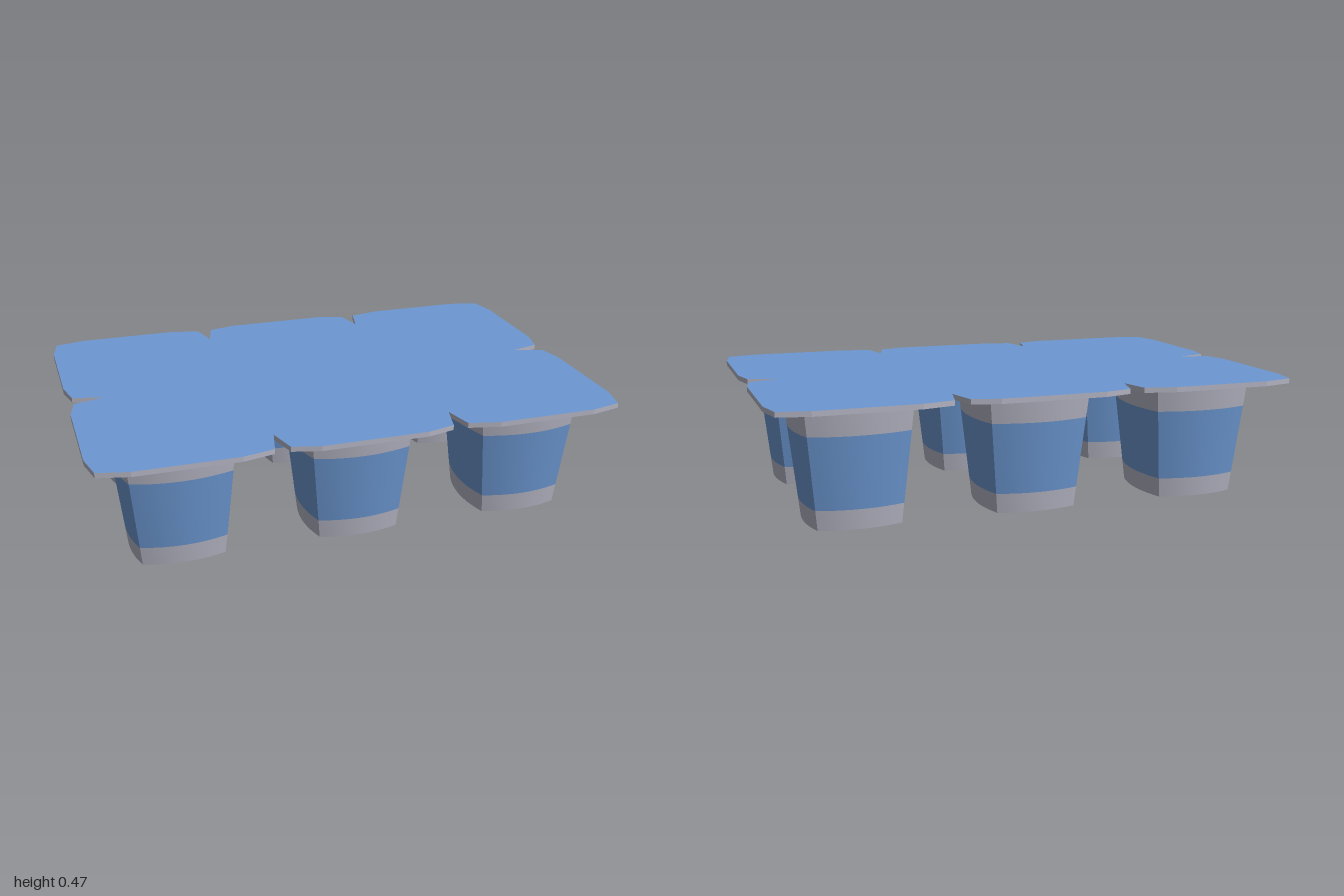
import * as THREE from 'three';

const blue = new THREE.MeshStandardMaterial({ color: 0x6c98d2 });
blue.name = 'blue';
const grey = new THREE.MeshStandardMaterial({ color: 0xb6b6c5 });
grey.name = 'light grey';

const CUP_HEIGHT = 0.45;
const STEPS = 10;

// A point on one bowed side of the cup: side 0..3, t from -1 to 1 along the side
function sidePoint(side, t, y) {
  const half = THREE.MathUtils.lerp(0.179, 0.228, y / CUP_HEIGHT);
  const corner = half * 0.855;
  const out = half - (half - corner) * t * t;
  const p = new THREE.Vector3(corner * t, y, out);
  return p.applyAxisAngle(new THREE.Vector3(0, 1, 0), side * Math.PI / 2);
}

// Ring of four bowed sides between two heights; corners stay sharp, sides smooth
function bandGeometry(y0, y1) {
  const positions = [], index = [];
  for (let side = 0; side < 4; side++) {
    const start = positions.length / 3;
    for (let i = 0; i <= STEPS; i++) {
      const t = -1 + 2 * i / STEPS;
      positions.push(...sidePoint(side, t, y0).toArray(), ...sidePoint(side, t, y1).toArray());
      if (i < STEPS) {
        const a = start + 2 * i;
        index.push(a, a + 2, a + 1, a + 1, a + 2, a + 3);
      }
    }
  }
  const geometry = new THREE.BufferGeometry();
  geometry.setAttribute('position', new THREE.Float32BufferAttribute(positions, 3));
  geometry.setIndex(index);
  geometry.computeVertexNormals();
  return geometry;
}

// Flat cup bottom, facing down
function baseGeometry() {
  const points = [];
  for (let side = 0; side < 4; side++) {
    for (let i = 0; i < STEPS; i++) {
      const p = sidePoint(side, -1 + 2 * i / STEPS, 0);
      points.push(new THREE.Vector2(p.x, p.z));
    }
  }
  return new THREE.ShapeGeometry(new THREE.Shape(points)).rotateX(Math.PI / 2);
}

// Tray outline: one quarter mirrored in x and z, with V notches between the cells
function trayShape() {
  const quarter = [
    [0.86, 0], [0.978, 0.032], [1, 0.13], [1, 0.53], [0.977, 0.638], [0.86, 0.665], [0.48, 0.665],
    [0.362, 0.638], [0.335, 0.523], [0.305, 0.638], [0.2, 0.665],
  ];
  const mirrored = quarter.map(([x, z]) => [-x, z]).reverse();
  const half = [...quarter, ...mirrored];
  const otherHalf = half.slice(1, -1).map(([x, z]) => [x, -z]).reverse();
  return new THREE.Shape([...half, ...otherHalf].map(([x, z]) => new THREE.Vector2(x, z)));
}

function slab(shape, y, depth, materials, name) {
  const geometry = new THREE.ExtrudeGeometry(shape, { depth, bevelEnabled: false });
  geometry.rotateX(-Math.PI / 2).translate(0, y, 0);
  const mesh = new THREE.Mesh(geometry, materials);
  mesh.name = name;
  return mesh;
}

export function createModel() {
  const model = new THREE.Group();
  model.name = 'sixCupPack';

  // Notched rim with a foil lid on top
  const shape = trayShape();
  model.add(slab(shape, 0.446, 0.016, grey, 'rim'));
  model.add(slab(shape, 0.462, 0.003, [blue, grey], 'lidFoil'));

  // Cup parts, shared by all six cups
  const parts = [
    ['cupBase', baseGeometry(), grey],
    ['cupFoot', bandGeometry(0, 0.075), grey],
    ['cupLabel', bandGeometry(0.075, 0.345), blue],
    ['cupNeck', bandGeometry(0.345, CUP_HEIGHT), grey],
  ];
  for (const x of [-0.669, 0, 0.669]) {
    for (const z of [-0.333, 0.333]) {
      const cup = new THREE.Group();
      cup.name = 'cup';
      for (const [name, geometry, material] of parts) {
        const mesh = new THREE.Mesh(geometry, material);
        mesh.name = name;
        cup.add(mesh);
      }
      cup.position.set(x, 0, z);
      model.add(cup);
    }
  }
  return model;
}
